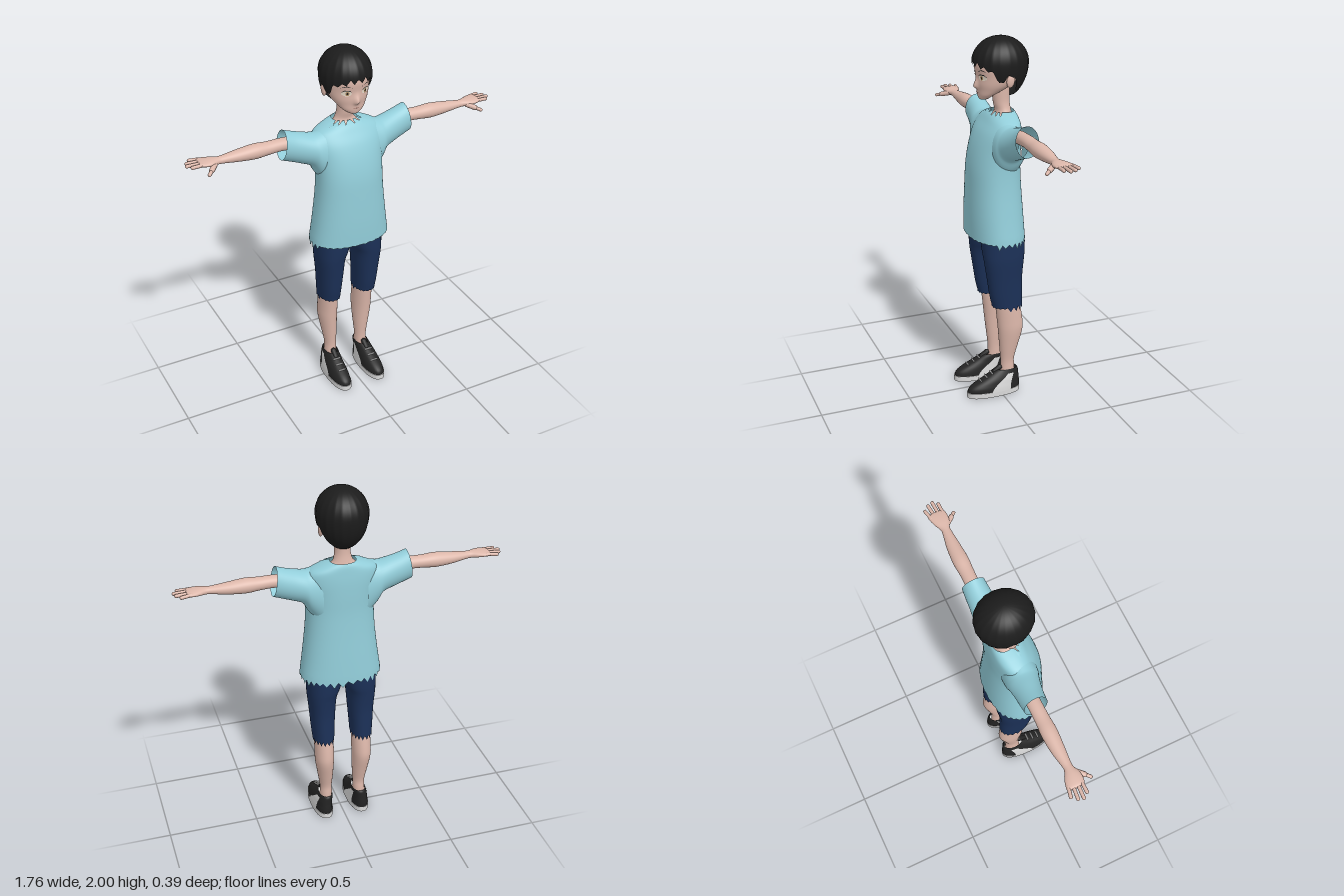
import * as THREE from 'three';

const material = (name, color, side = THREE.FrontSide) => {
  const m = new THREE.MeshStandardMaterial({ color, side });
  m.name = name;
  return m;
};

// Grid surface from f(u, v); u runs around to the right, v runs upward
function grid(f, nu, nv, closed = true, keep = () => true) {
  const cols = closed ? nu : nu + 1, pos = [], index = [];
  for (let j = 0; j <= nv; j++) for (let i = 0; i < cols; i++) pos.push(...f(i / nu, j / nv, i, j));
  for (let j = 0; j < nv; j++) for (let i = 0; i < nu; i++) {
    const a = j * cols + i, b = j * cols + (i + 1) % cols, c = b + cols, d = a + cols;
    if (keep(pos[a * 3], pos[a * 3 + 1])) index.push(a, b, c, a, c, d);
  }
  const g = new THREE.BufferGeometry();
  g.setAttribute('position', new THREE.Float32BufferAttribute(pos, 3));
  g.setIndex(index);
  g.computeVertexNormals();
  return g;
}

// Smooth profile through rows of [height, centre x, half width, front z, back z]
function profile(rows) {
  const curves = rows[0].map((_, k) => new THREE.SplineCurve(rows.map((r, i) => new THREE.Vector2(i, r[k]))));
  return t => curves.map(c => c.getPoint(t).y);
}
const pw = (s, p) => Math.sign(s) * Math.abs(s) ** p;
const onRing = ([y, cx, hw, zf, zb], a, p = 1) =>
  [cx + hw * pw(Math.sin(a), p), y, (zf + zb) / 2 + (zf - zb) / 2 * pw(Math.cos(a), p)];

function loft(rows, { nu = 40, nv = 24, p = 1, tweak = q => q, keep } = {}) {
  const at = profile(rows);
  return grid((u, v, i, j) => tweak(onRing(at(v), u * Math.PI * 2, p), u * Math.PI * 2, v, i, j), nu, nv, true, keep);
}

function mirrored(geometry) {
  const g = geometry.clone().scale(-1, 1, 1), ix = g.index.array;
  for (let i = 0; i < ix.length; i += 3) [ix[i], ix[i + 1]] = [ix[i + 1], ix[i]];
  return g;
}

function capsule(a, b, r) {
  const A = new THREE.Vector3(...a), B = new THREE.Vector3(...b), d = B.clone().sub(A);
  const g = new THREE.CapsuleGeometry(r, d.length(), 5, 10);
  g.applyQuaternion(new THREE.Quaternion().setFromUnitVectors(new THREE.Vector3(0, 1, 0), d.normalize()));
  return g.translate(...A.add(B).multiplyScalar(0.5).toArray());
}

export function createModel() {
  const model = new THREE.Group();
  model.name = 'boy';
  const skin = material('skin', 0xdcb7aa), hairMat = material('black hair', 0x1c1c1c, THREE.DoubleSide);
  const shirtMat = material('pale blue cloth', 0x92cdd9, THREE.DoubleSide);
  const shortsMat = material('navy cloth', 0x1c3158, THREE.DoubleSide);
  const shoeMat = material('black shoe', 0x242424, THREE.DoubleSide), white = material('off white', 0xd9d9d9);
  const eyeMat = material('eye cream', 0xf0e4d2), irisMat = material('iris tan', 0xb08d62);
  const lipMat = material('lip brown', 0x8f5f55);
  const add = (name, g, m) => {
    const mesh = new THREE.Mesh(g, m);
    mesh.name = name;
    model.add(mesh);
  };
  const pair = (name, g, m) => {
    add(name + 'Left', g, m);
    add(name + 'Right', mirrored(g), m);
  };

  // Head, with a nose pushed out of the face
  const headRows = [
    [1.672, 0, 0, 0.06, 0.06], [1.678, 0, 0.026, 0.076, 0.03], [1.70, 0, 0.058, 0.083, 0], [1.73, 0, 0.084, 0.086, -0.06],
    [1.76, 0, 0.102, 0.09, -0.11], [1.80, 0, 0.113, 0.09, -0.14], [1.85, 0, 0.118, 0.097, -0.16],
    [1.90, 0, 0.115, 0.088, -0.165], [1.95, 0, 0.08, 0.05, -0.12], [1.98, 0, 0, -0.04, -0.04]];
  const nose = (x, y) => {
    const dx = x / 0.014, dy = (y - 1.747) / (y > 1.747 ? 0.032 : 0.014);
    return 0.02 * Math.exp(-dx * dx - dy * dy);
  };
  add('head', loft(headRows, {
    nu: 72, nv: 54, tweak: ([x, y, z], a) => [x, y, z + (Math.cos(a) > 0 ? nose(x, y) : 0)] }), skin);
  const headAt = profile(headRows);
  const faceZ = (x, y) => {
    let lo = 0, hi = 1;
    for (let i = 0; i < 25; i++) {
      const t = (lo + hi) / 2;
      if (headAt(t)[0] < y) lo = t; else hi = t;
    }
    const [, , hw, zf, zb] = headAt(lo);
    return (zf + zb) / 2 + (zf - zb) / 2 * Math.sqrt(Math.max(0, 1 - (x / hw) ** 2)) + nose(x, y);
  };
  const ear = new THREE.SphereGeometry(1, 16, 12).scale(0.012, 0.035, 0.022);
  pair('ear', ear.rotateX(-0.15).translate(0.116, 1.785, -0.052), skin);

  // Eyes, lashes, brows and mouth as thin plates hugging the face
  const decal = (pts, lift) => {
    const g = new THREE.ShapeGeometry(new THREE.Shape(pts.map(q => new THREE.Vector2(...q))));
    const pos = g.attributes.position;
    for (let i = 0; i < pos.count; i++) pos.setZ(i, faceZ(pos.getX(i), pos.getY(i)) + lift);
    g.computeVertexNormals();
    return g;
  };
  const disc = (x, y, rx, ry) => Array.from({ length: 16 }, (_, i) =>
    [x + rx * Math.cos(i * Math.PI / 8), y + ry * Math.sin(i * Math.PI / 8)]);
  pair('eye', decal(disc(0.052, 1.798, 0.024, 0.014), 0.002), eyeMat);
  pair('iris', decal(disc(0.05, 1.798, 0.009, 0.012), 0.004), irisMat);
  pair('pupil', decal(disc(0.05, 1.798, 0.004, 0.006), 0.005), hairMat);
  pair('lash', decal([[0.026, 1.802], [0.04, 1.811], [0.062, 1.812], [0.08, 1.802], [0.064, 1.817], [0.04, 1.816]], 0.004), hairMat);
  pair('brow', decal([[0.026, 1.829], [0.055, 1.836], [0.082, 1.828], [0.055, 1.841]], 0.003), hairMat);
  add('mouth', decal([[-0.02, 1.714], [0, 1.711], [0.02, 1.714], [0, 1.7155]], 0.003), lipMat);

  // Hair cap with a ragged hairline: fringe, sideburns, ear gap and nape
  const hairline = [[0, 1.866], [0.6, 1.856], [1.0, 1.838], [1.2, 1.785], [1.35, 1.785], [1.5, 1.82],
    [1.8, 1.815], [2.0, 1.75], [2.4, 1.70], [3.15, 1.69]];
  const hairBottom = a => {
    const k = Math.max(1, hairline.findIndex(h => h[0] >= a)), [a0, y0] = hairline[k - 1], [a1, y1] = hairline[k];
    return THREE.MathUtils.lerp(y0, y1, (a - a0) / (a1 - a0));
  };
  add('hair', grid((u, v, i) => {
    const a = u * Math.PI * 2, turn = Math.min(a, Math.PI * 2 - a);
    const jag = Math.abs(i % 6 - 3) / 3 * (0.7 + 0.3 * Math.sin(Math.round(i / 6) * 1.7)) * (turn < 1.1 ? 0.03 : 0.012);
    const d = 1.865 - (hairBottom(turn) - 0.012 + jag);
    const phi = (Math.PI / 2 + Math.asin(d / (d > 0 ? 0.195 : 0.135))) * (1 - v);
    const r = Math.sin(phi) * (1 - 0.018 * Math.abs(Math.sin(a * 10)) * Math.sin(phi));
    const c = Math.cos(phi);
    return [0.136 * r * Math.sin(a), 1.865 + c * (c > 0 ? 0.135 : 0.195), -0.04 + 0.151 * r * Math.cos(a)];
  }, 120, 24), hairMat);

  // Neck and upper chest
  add('neck', loft([[1.55, 0, 0.12, 0.025, -0.105], [1.585, 0, 0.075, 0, -0.102], [1.61, 0, 0.052, -0.012, -0.097],
    [1.65, 0, 0.042, -0.003, -0.091], [1.70, 0, 0.041, 0.003, -0.09], [1.75, 0, 0.042, 0.005, -0.09]]), skin);

  // Shirt body: torn hem and neckline, open where the sleeves join
  add('shirtBody', loft([[0.93, 0, 0.222, 0.145, -0.155], [1.05, 0, 0.205, 0.146, -0.148], [1.2, 0, 0.188, 0.142, -0.138],
    [1.32, 0, 0.182, 0.135, -0.132], [1.42, 0, 0.186, 0.115, -0.132], [1.5, 0, 0.197, 0.085, -0.13],
    [1.555, 0, 0.185, 0.05, -0.125], [1.588, 0, 0.125, 0.026, -0.12], [1.608, 0, 0.068, 0.0, -0.112]], {
    nu: 64, nv: 40, p: 0.88,
    keep: (x, y) => !(Math.abs(x) > 0.17 && y > 1.43 && y < 1.535),
    tweak: ([x, y, z], a, v, i, j) => {
      const front = Math.cos(a) > 0.3;
      if (j === 0 && i % 2) y -= (front ? 0.005 : 0.036) * (0.75 + 0.25 * Math.sin(a * 7));
      const cut = front && i % 4 === 2 ? Math.max(0, (j - 35) / 5) : 0;
      return [x * (1 + 0.7 * cut), y - 0.018 * cut, z + 0.024 * cut];
    } }), shirtMat);

  // Limbs along x are lofted upright, then laid sideways
  const sideways = g => g.rotateZ(-Math.PI / 2);
  const sleeve = loft([[0.12, -1.415, 0.165, 0.07, -0.115], [0.18, -1.449, 0.118, 0.062, -0.118],
    [0.21, -1.476, 0.09, 0.05, -0.115], [0.26, -1.494, 0.084, 0.036, -0.11], [0.31, -1.511, 0.081, 0.026, -0.108],
    [0.362, -1.53, 0.08, 0.02, -0.105]], {
    tweak: ([x, y, z], a, v) => [x, y + 0.012 * Math.sin(a) * v, z] });
  pair('sleeve', sideways(sleeve), shirtMat);
  const arm = loft([[0.25, -1.525, 0.035, -0.008, -0.085], [0.36, -1.533, 0.033, -0.008, -0.082],
    [0.44, -1.531, 0.034, -0.006, -0.082], [0.51, -1.53, 0.039, -0.002, -0.086], [0.6, -1.529, 0.031, -0.008, -0.08],
    [0.68, -1.53, 0.021, -0.015, -0.066], [0.71, -1.531, 0.019, -0.014, -0.064], [0.745, -1.533, 0.019, 0, -0.08],
    [0.78, -1.535, 0.016, 0.003, -0.092], [0.808, -1.536, 0.011, -0.006, -0.092], [0.815, -1.536, 0, -0.045, -0.045]],
  { nv: 40 });
  pair('arm', sideways(arm), skin);
  [[-0.014, 0.852, -0.014], [-0.036, 0.872, -0.04], [-0.06, 0.864, -0.067], [-0.082, 0.842, -0.094]].forEach(([z0, x1, z1], i) =>
    pair('finger' + (i + 1), capsule([0.79, 1.537, z0], [x1, 1.536, z1], 0.0095), skin));
  pair('thumbBase', capsule([0.735, 1.525, -0.015], [0.765, 1.515, 0.018], 0.014), skin);
  pair('thumb', capsule([0.76, 1.517, 0.014], [0.787, 1.507, 0.042], 0.0095), skin);

  // Knee-length shorts with torn hems
  pair('shortsLeg', loft([[0.535, 0.109, 0.058, 0.045, -0.125], [0.6, 0.11, 0.062, 0.06, -0.124], [0.7, 0.11, 0.069, 0.075, -0.122],
    [0.8, 0.11, 0.078, 0.09, -0.13], [0.86, 0.1, 0.09, 0.097, -0.137], [0.95, 0.09, 0.099, 0.1, -0.138],
    [1.05, 0.09, 0.088, 0.09, -0.12]], {
    nu: 36, p: 0.88,
    tweak: ([x, y, z], a, v, i, j) => [x, j === 0 && i % 2 ? y - (Math.cos(a) > 0.3 ? 0.006 : 0.026) : y, z] }), shortsMat);

  // Lower legs
  pair('leg', loft([[0.08, 0.1, 0.035, 0, -0.09], [0.15, 0.098, 0.034, -0.008, -0.088], [0.2, 0.098, 0.034, -0.008, -0.086],
    [0.28, 0.102, 0.043, 0, -0.106], [0.38, 0.108, 0.052, 0.01, -0.131], [0.45, 0.108, 0.053, 0.017, -0.128],
    [0.55, 0.108, 0.052, 0.028, -0.112], [0.62, 0.108, 0.052, 0.035, -0.11]]), skin);

  // Shoes: sole (doubled rows keep its edges sharp), upper, stripes, tongue and laces
  const rim = [0.107, 0.057, 0.195, -0.115], mid = [0.107, 0, 0.04, 0.04];
  pair('sole', loft([[0, ...mid], [0, ...rim], [0, ...rim], [0.03, ...rim], [0.03, ...rim], [0.03, ...mid]],
    { nv: 5, p: 0.85 }), white);
  const upper = [[0.028, 0.107, 0.055, 0.192, -0.113], [0.05, 0.107, 0.053, 0.184, -0.114], [0.07, 0.106, 0.05, 0.158, -0.113],
    [0.09, 0.105, 0.047, 0.118, -0.111], [0.11, 0.103, 0.043, 0.078, -0.11], [0.13, 0.1, 0.039, 0.042, -0.108],
    [0.142, 0.099, 0.036, 0.018, -0.1]];
  pair('shoeUpper', loft(upper, { p: 0.88 }), shoeMat);
  const upperAt = profile(upper);
  [1, -1].forEach(s => pair(s > 0 ? 'outerStripe' : 'innerStripe', grid((u, v) => {
    const row = upperAt(v * 0.75), edge = s > 0 ? u : 1 - u;
    row[2] += 0.003;
    return onRing(row, s * THREE.MathUtils.lerp(1.42 + 0.22 * v, 2.12 - 0.05 * v, edge), 0.88);
  }, 10, 10, false), white));
  pair('tongue', capsule([0.1, 0.125, 0.03], [0.099, 0.148, 0.0], 0.016), shoeMat);
  [0.088, 0.105, 0.122].forEach((y, i) => {
    const z = upperAt((4 + (y - 0.11) / 0.02) / 6)[3] - 0.004;
    pair('lace' + (i + 1), capsule([0.084, y + 0.004, z], [0.122, y + 0.004, z], 0.004), white);
  });
  return model;
}
